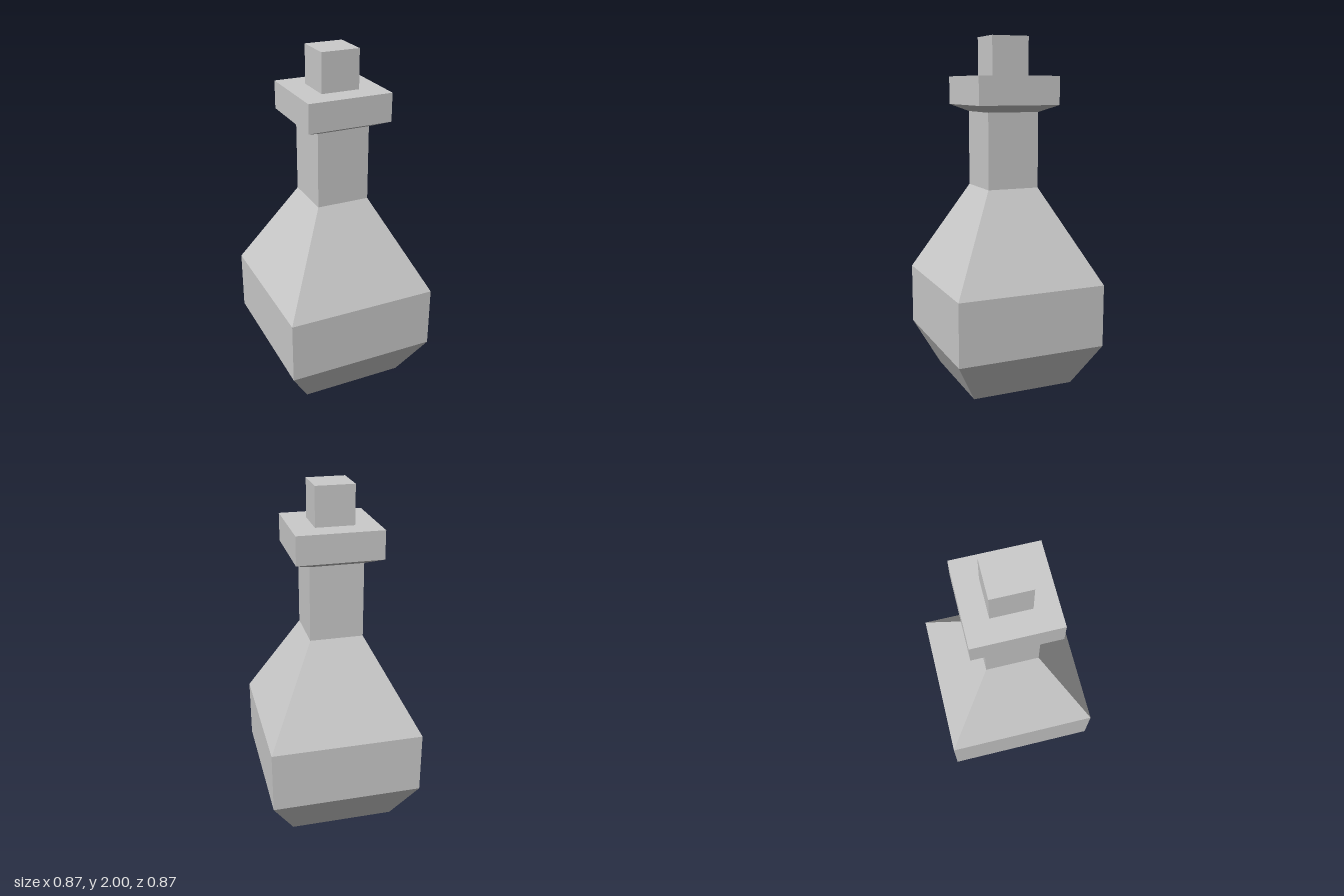
import * as THREE from 'three';

const material = new THREE.MeshStandardMaterial({ color: 0xcccccc, flatShading: true });

// Square solid from [half width, height] pairs, bottom to top
function squareLoft(name, profile) {
  const points = profile.map(([half, y]) => new THREE.Vector2(half * Math.SQRT2, y));
  const geometry = new THREE.LatheGeometry(points, 4, Math.PI / 4).toNonIndexed();
  geometry.computeVertexNormals();
  const mesh = new THREE.Mesh(geometry, material);
  mesh.name = name;
  return mesh;
}

export function createModel() {
  const bottle = new THREE.Group();
  bottle.name = 'bottle';

  // Tapered base, straight belly, sloped shoulders and neck
  bottle.add(squareLoft('body', [
    [0, 0], [0.303, 0], [0.437, 0.25], [0.437, 0.61], [0.152, 1.15], [0.152, 1.58],
  ]));

  // Flared lip with a flat top
  bottle.add(squareLoft('lip', [
    [0.152, 1.58], [0.241, 1.62], [0.241, 1.78], [0, 1.78],
  ]));

  // Stopper standing on the lip
  const stopper = new THREE.Mesh(new THREE.BoxGeometry(0.22, 0.22, 0.22), material);
  stopper.name = 'stopper';
  stopper.position.y = 1.89;
  bottle.add(stopper);

  return bottle;
}
